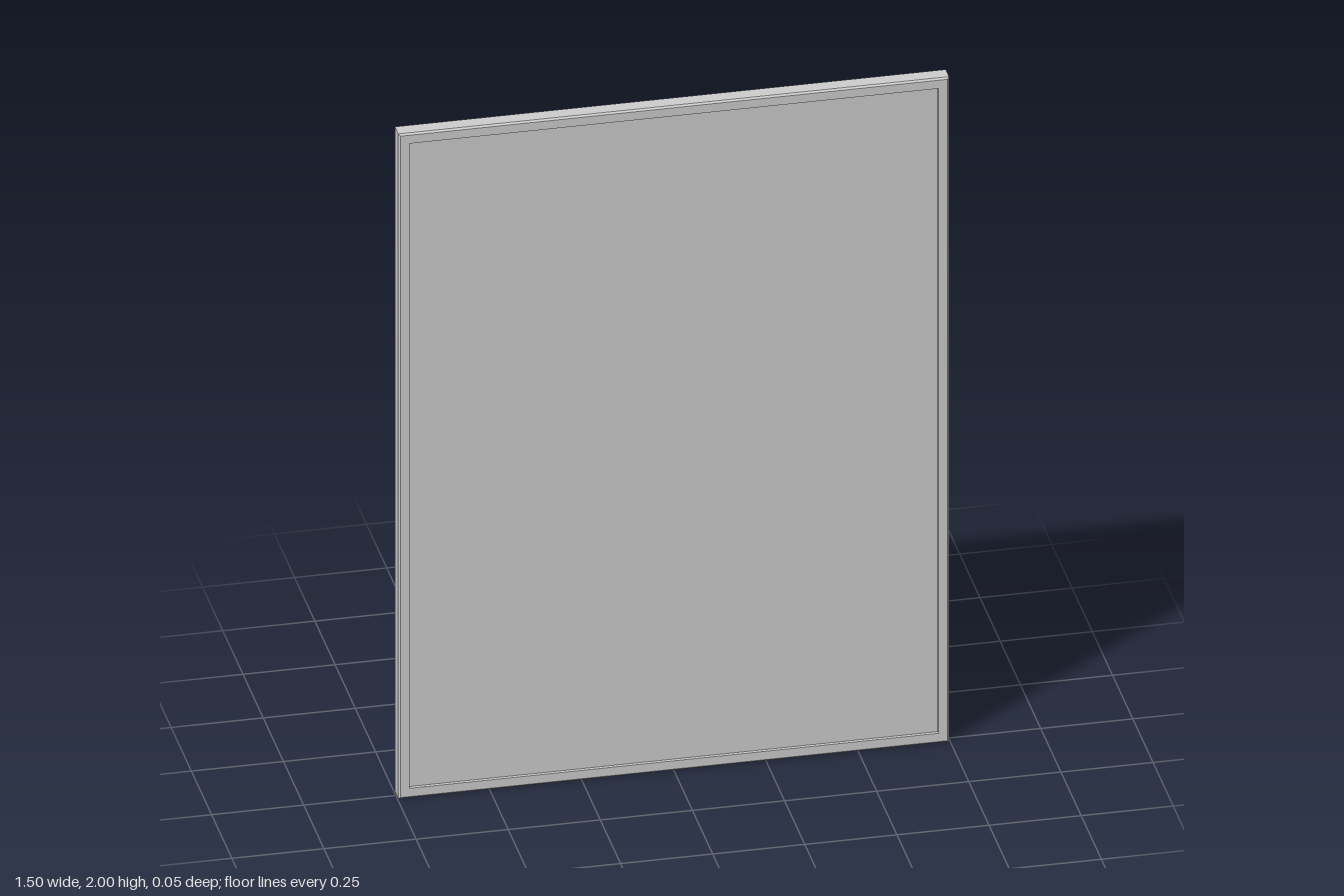
import * as THREE from 'three';

const W = 1.495, H = 2, D = 0.046;   // overall size
const RAIL = 0.03, BEVEL = 0.005;    // frame rail width and front edge bevel

// Sweeps a closed [inset, z] section around a rectangle with mitred corners.
function mitredFrame(section) {
  const corners = [[-1, -1], [1, -1], [1, 1], [-1, 1]];
  const point = (c, [inset, z]) => [c[0] * (W / 2 - inset), c[1] * (H / 2 - inset), z];
  const positions = [];
  corners.forEach((c, i) => {
    const next = corners[(i + 1) % 4];
    section.forEach((p, j) => {
      const q = section[(j + 1) % section.length];
      const a = point(c, p), b = point(next, p), d = point(next, q), e = point(c, q);
      positions.push(...a, ...b, ...d, ...a, ...d, ...e);
    });
  });
  const geometry = new THREE.BufferGeometry();
  geometry.setAttribute('position', new THREE.Float32BufferAttribute(positions, 3));
  geometry.computeVertexNormals();
  return geometry;
}

export function createModel() {
  const group = new THREE.Group();
  group.name = 'pictureFrame';
  const material = new THREE.MeshStandardMaterial({ color: 0xcccccc });

  const add = (name, geometry, z = 0) => {
    const mesh = new THREE.Mesh(geometry, material);
    mesh.name = name;
    mesh.position.set(0, H / 2, z);
    group.add(mesh);
  };

  // Rim with a bevelled front outer edge
  add('frame', mitredFrame([
    [0, -D / 2], [0, D / 2 - BEVEL], [BEVEL, D / 2], [RAIL, D / 2], [RAIL, -D / 2],
  ]));

  // Panel set into the rim, shallow at the front and deep at the back
  add('panel', new THREE.BoxGeometry(W - 2 * RAIL, H - 2 * RAIL, 0.008), 0.009);

  // Raised plate on the back of the panel
  add('backPlate', new THREE.BoxGeometry(W - 0.28, H - 0.28, 0.008), 0.001);

  return group;
}
